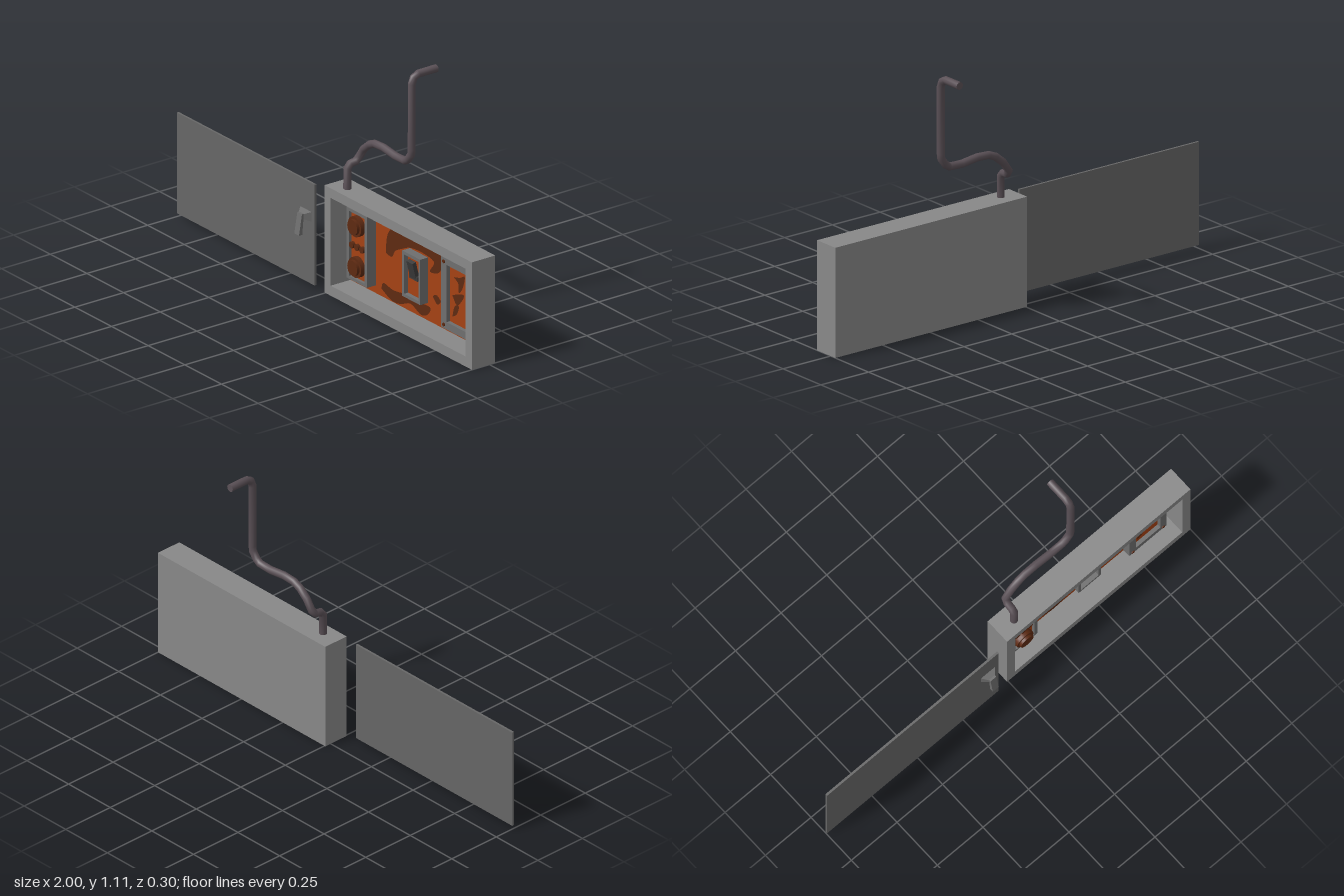
import * as THREE from 'three';

const mat = (color, extra = {}) => new THREE.MeshStandardMaterial({ color, ...extra });
const steel = mat(0x888888), doorGrey = mat(0x666666), trim = mat(0x6e6e6e), dark = mat(0x3c3c3c);
const orange = mat(0xa54214), rust = mat(0x5e2a12), pipeMat = mat(0x5a5056);

const BACK = -0.012; // z of the panel face inside the cabinet

function add(parent, name, geometry, material, x = 0, y = 0, z = 0) {
  const mesh = new THREE.Mesh(geometry, material);
  mesh.name = name;
  mesh.position.set(x, y, z);
  parent.add(mesh);
  return mesh;
}

// Box given by its limits on each axis
function block(parent, name, material, [x0, x1], [y0, y1], [z0, z1]) {
  return add(parent, name, new THREE.BoxGeometry(x1 - x0, y1 - y0, z1 - z0), material,
    (x0 + x1) / 2, (y0 + y1) / 2, (z0 + z1) / 2);
}

// Rectangular frame with a rectangular opening, extruded along z
function frame(parent, name, material, [x0, x1], [y0, y1], [a0, a1], [b0, b1], [z0, z1]) {
  const rect = (l, r, b, t) => [[l, b], [r, b], [r, t], [l, t]].map(p => new THREE.Vector2(...p));
  const shape = new THREE.Shape(rect(x0, x1, y0, y1));
  shape.holes.push(new THREE.Path(rect(a0, a1, b0, b1)));
  return add(parent, name, new THREE.ExtrudeGeometry(shape, { depth: z1 - z0, bevelEnabled: false }),
    material, 0, 0, z0);
}

// Round part standing out of the panel towards the front
function disc(parent, name, material, x, y, r, z0, z1, sides = 20) {
  const g = new THREE.CylinderGeometry(r, r, z1 - z0, sides).rotateX(Math.PI / 2);
  return add(parent, name, g, material, x, y, (z0 + z1) / 2);
}

// Flat rust stain; outline in hundredths of a unit
function stain(parent, outline, z) {
  const pts = outline.map(([x, y]) => new THREE.Vector2(x / 100, y / 100));
  const shape = new THREE.Shape();
  shape.moveTo(pts[0].x, pts[0].y);
  shape.splineThru([...pts.slice(1), pts[0]]);
  add(parent, 'rustStain', new THREE.ShapeGeometry(shape, 4), rust, 0, 0, z);
}

// Path that puts one tube ring on each corner, turned halfway between its two runs
class CornerPath extends THREE.Curve {
  constructor(points) { super(); this.points = points.map(p => new THREE.Vector3(...p)); }
  index(u) { return Math.round(u * (this.points.length - 1)); }
  getPointAt(u, target = new THREE.Vector3()) { return target.copy(this.points[this.index(u)]); }
  getPoint(u, target) { return this.getPointAt(u, target); }
  getTangentAt(u, target = new THREE.Vector3()) {
    const p = this.points, i = this.index(u);
    target.set(0, 0, 0);
    if (i > 0) target.add(p[i].clone().sub(p[i - 1]).normalize());
    if (i < p.length - 1) target.add(p[i + 1].clone().sub(p[i]).normalize());
    return target.normalize();
  }
}

function cabinet() {
  const g = new THREE.Group();
  g.name = 'cabinet';
  frame(g, 'cabinetWalls', steel, [-0.005, 1], [0, 0.48], [0.037, 0.955], [0.045, 0.437], [-0.03, 0.09]);
  block(g, 'cabinetBack', steel, [0.03, 0.96], [0.04, 0.44], [-0.03, -0.02]);
  block(g, 'innerPanel', orange, [0.035, 0.957], [0.043, 0.439], [-0.02, BACK]);

  const z = BACK + 0.002;
  stain(g, [[28, 25], [29, 33], [33, 38], [40, 39.5], [52, 37.5], [60, 39.5], [65.5, 37.5], [66.5, 32],
    [63.5, 28], [58, 27], [61, 32], [54, 33.5], [45, 33], [39, 30.5], [34.5, 28], [32, 24.5]], z);
  stain(g, [[25, 8], [26.5, 11], [33, 10], [41.5, 11], [49, 10.5], [58, 11], [57, 7.5], [52, 5.5],
    [45, 8], [38, 5.5], [32, 5]], z);
  stain(g, [[60, 16.5], [62.5, 18], [65.5, 16], [63, 14]], z);
  return g;
}

function dialUnit() {
  const g = new THREE.Group();
  g.name = 'dialUnit';
  frame(g, 'dialFrame', trim, [0.072, 0.21], [0.08, 0.396], [0.09, 0.193], [0.093, 0.383], [BACK, 0.035]);
  block(g, 'dialPlate', orange, [0.088, 0.195], [0.09, 0.385], [BACK, 0.022]);
  for (const y of [0.33, 0.148]) {
    disc(g, 'dialBase', rust, 0.137, y, 0.045, 0.02, 0.043);
    disc(g, 'dialCap', rust, 0.137, y, 0.034, 0.04, 0.055);
  }
  for (const x of [0.103, 0.137, 0.172]) disc(g, 'smallKnob', rust, x, 0.235, 0.014, 0.02, 0.036, 12);
  return g;
}

function switchUnit() {
  const g = new THREE.Group();
  g.name = 'switchUnit';
  frame(g, 'switchFrame', trim, [0.442, 0.565], [0.123, 0.326], [0.456, 0.552], [0.137, 0.312], [BACK, 0.028]);
  block(g, 'switchPlate', orange, [0.454, 0.554], [0.135, 0.314], [BACK, 0.008]);
  block(g, 'switchSlot', dark, [0.478, 0.536], [0.215, 0.235], [0.006, 0.02]);
  const lever = block(g, 'switchLever', dark, [0.485, 0.527], [0.222, 0.3], [0.012, 0.03]);
  lever.rotation.x = 0.25;
  return g;
}

function windowUnit() {
  const g = new THREE.Group();
  g.name = 'framedPlate';
  frame(g, 'plateFrame', trim, [0.715, 0.918], [0.08, 0.396], [0.752, 0.886], [0.113, 0.368], [BACK, 0.033]);
  block(g, 'framedPlatePanel', orange, [0.75, 0.888], [0.111, 0.37], [BACK, 0.015]);
  for (const x of [0.734, 0.9]) for (const y of [0.097, 0.379]) disc(g, 'rivet', rust, x, y, 0.008, 0.03, 0.037, 8);
  stain(g, [[78, 32], [82, 33], [85.5, 34.5], [84, 29], [81.5, 26], [81, 30]], 0.017);
  stain(g, [[77, 23.5], [81.5, 25.5], [85, 26], [83, 22.5], [80, 20]], 0.017);
  stain(g, [[77, 14], [78.5, 19], [81.5, 20], [80, 16]], 0.017);
  return g;
}

function door() {
  const g = new THREE.Group();
  g.name = 'door';
  block(g, 'doorPanel', doorGrey, [-1, -0.06], [0.015, 0.465], [0.09, 0.1]);

  // Latch mount narrowing towards the front
  const mount = new THREE.BoxGeometry(0.077, 0.043, 0.026);
  const p = mount.attributes.position;
  for (let i = 0; i < p.count; i++) if (p.getZ(i) > 0) p.setXY(i, p.getX(i) * 0.42, p.getY(i) * 0.5);
  mount.computeVertexNormals();
  add(g, 'latchMount', mount, trim, -0.118, 0.315, 0.113);

  // Handle leaning outwards at its lower end
  const handle = new THREE.BoxGeometry(0.032, 0.092, 0.014);
  const q = handle.attributes.position;
  for (let i = 0; i < q.count; i++) {
    const low = q.getY(i) < 0;
    q.setZ(i, q.getZ(i) * (low ? 1.2 : 0.7) + (low ? 0.006 : -0.006));
  }
  handle.computeVertexNormals();
  add(g, 'latchHandle', handle, trim, -0.118, 0.281, 0.134);
  return g;
}

function pipe() {
  const g = new THREE.Group();
  g.name = 'pipe';
  const path = new CornerPath([
    [0.08, 0.47, 0.037], [0.08, 0.57, 0.037], [0.08, 0.588, 0.022], [0.081, 0.592, -0.005],
    [0.085, 0.612, -0.022], [0.115, 0.655, -0.022], [0.155, 0.688, -0.022], [0.19, 0.703, -0.022],
    [0.25, 0.706, -0.022], [0.33, 0.696, -0.022], [0.395, 0.698, -0.022], [0.415, 0.71, -0.022],
    [0.438, 0.74, -0.022], [0.441, 0.765, -0.022], [0.441, 1.055, -0.022], [0.441, 1.082, -0.032],
    [0.441, 1.094, -0.055], [0.441, 1.094, -0.148]]);
  add(g, 'pipeRun', new THREE.TubeGeometry(path, path.points.length - 1, 0.017, 10), pipeMat);
  const cap = add(g, 'pipeEnd', new THREE.CircleGeometry(0.017, 10), pipeMat, 0.441, 1.094, -0.148);
  cap.rotation.y = Math.PI;
  return g;
}

export function createModel() {
  const model = new THREE.Group();
  model.name = 'controlBox';
  model.add(cabinet(), dialUnit(), switchUnit(), windowUnit(), door(), pipe());
  return model;
}
